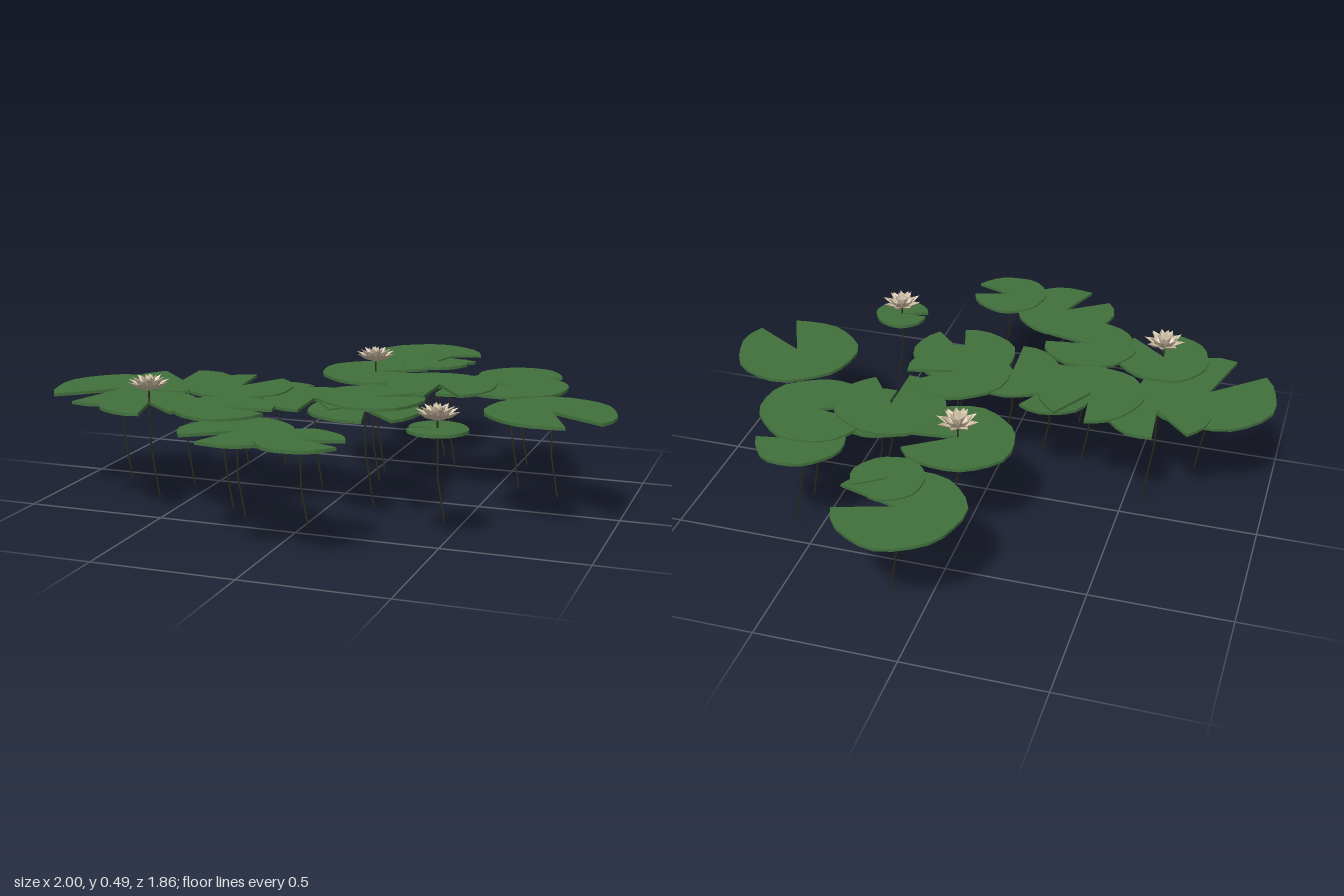
import * as THREE from 'three';

const leafGreen = new THREE.MeshStandardMaterial({ color: 0x41703c });
leafGreen.name = 'leaf green';
const stemBrown = new THREE.MeshStandardMaterial({ color: 0x2e2a1c });
stemBrown.name = 'stem brown';
const petalCream = new THREE.MeshStandardMaterial({ color: 0xcdbca2, side: THREE.DoubleSide, flatShading: true });
petalCream.name = 'petal cream';

// x, z, radius, notch direction (degrees from +x towards +z), notch half width, stem foot y, flower base y
const PADS = [
  [0.09, -0.71, 0.222, 0, 17, 0.04],
  [0.17, -0.57, 0.125, -55, 20, 0.09],
  [0.02, -0.28, 0.2, -20, 14, 0.015, 0.437],
  [0.54, -0.43, 0.155, 8, 18, 0.05],
  [0.55, -0.24, 0.205, 170, 18, 0.015],
  [0.31, -0.14, 0.2, 72, 18, 0.14],
  [0.33, -0.19, 0.155, 110, 18, 0.08],
  [0.78, 0.13, 0.222, 49, 18, 0.10],
  [0.49, 0.5, 0.1, 170, 10, 0.09, 0.424],
  [-0.755, 0.27, 0.245, 122, 17, 0.06],
  [-0.6, 0.09, 0.185, -115, 20, 0],
  [-0.35, 0.13, 0.19, -78, 18, 0.11],
  [-0.2, 0.14, 0.17, -45, 16, 0.13],
  [-0.04, 0.21, 0.18, 70, 17, 0.08],
  [0.15, 0.14, 0.19, -25, 12, 0.1],
  [0.17, 0.28, 0.19, 60, 15, 0.05],
  [-0.55, 0.46, 0.172, 58, 18, 0.06, 0.437],
  [-0.27, 0.47, 0.17, 2, 11, 0.05],
  [-0.11, 0.72, 0.187, 129, 17, 0.11],
  [0.13, 0.78, 0.143, 2, 18, 0.13],
];

// Notched round leaf with a slightly uneven rim
function padGeometry(r, notch, half, seed) {
  const shape = new THREE.Shape();
  const steps = 22;
  shape.moveTo(0, 0);
  for (let i = 0; i <= steps; i++) {
    const t = half + (360 - 2 * half) * (i / steps);
    const a = THREE.MathUtils.degToRad(notch + t);
    const rr = r * (1 + 0.025 * Math.sin(3 * a + seed * 1.7) + 0.015 * Math.sin(7 * a + seed));
    shape.lineTo(rr * Math.cos(a), -rr * Math.sin(a));
  }
  shape.closePath();
  return new THREE.ExtrudeGeometry(shape, { depth: 0.011, bevelEnabled: false }).rotateX(-Math.PI / 2);
}

// Thin tube that drops straight, then leans towards +x
function stemGeometry(x, z, foot, top) {
  const path = new THREE.CurvePath();
  const a = new THREE.Vector3(x, top, z);
  const b = new THREE.Vector3(x + 0.002, 0.24, z);
  const c = new THREE.Vector3(x + 0.01 + (0.24 - foot) * 0.12, foot, z);
  path.add(new THREE.LineCurve3(a, b));
  path.add(new THREE.LineCurve3(b, c));
  return new THREE.TubeGeometry(path, 10, 0.0032, 5);
}

// Pointed petal folded along its middle ridge
function petalGeometry(length, rise, width) {
  const g = new THREE.BufferGeometry();
  const m = length * 0.6;
  g.setAttribute('position', new THREE.Float32BufferAttribute([
    0, 0, 0,
    m, rise * 0.75, width,
    m, rise * 0.4, 0,
    m, rise * 0.75, -width,
    length, rise, 0,
  ], 3));
  g.setIndex([0, 1, 2, 0, 2, 3, 1, 4, 2, 2, 4, 3]);
  g.computeVertexNormals();
  return g;
}

function makeFlower() {
  const flower = new THREE.Group();
  flower.name = 'flower';
  // length, rise, half width, turn
  const rings = [[0.076, 0.036, 0.016, 0], [0.056, 0.049, 0.014, 0.5], [0.028, 0.053, 0.01, 0]];
  rings.forEach(([length, rise, width, turn]) => {
    const geometry = petalGeometry(length, rise, width);
    for (let i = 0; i < 8; i++) {
      const petal = new THREE.Mesh(geometry, petalCream);
      petal.name = 'petal';
      petal.rotation.y = ((i + turn) * Math.PI) / 4;
      flower.add(petal);
    }
  });
  return flower;
}

export function createModel() {
  const model = new THREE.Group();
  model.name = 'lilyPads';
  PADS.forEach(([x, z, r, notch, half, foot, flowerY], i) => {
    const plant = new THREE.Group();
    plant.name = flowerY ? 'floweringPlant' : 'padPlant';

    const pad = new THREE.Mesh(padGeometry(r, notch, half, i), leafGreen);
    pad.name = 'pad';
    // Staggered heights let neighbouring leaves overlap
    pad.position.set(x, 0.378 + ((i * 7) % 20) * 0.0008, z);
    plant.add(pad);

    const stem = new THREE.Mesh(stemGeometry(x, z, foot, flowerY ? flowerY + 0.004 : 0.385), stemBrown);
    stem.name = 'stem';
    plant.add(stem);

    if (flowerY) {
      const flower = makeFlower();
      flower.position.set(x, flowerY, z);
      plant.add(flower);
    }
    model.add(plant);
  });
  return model;
}
